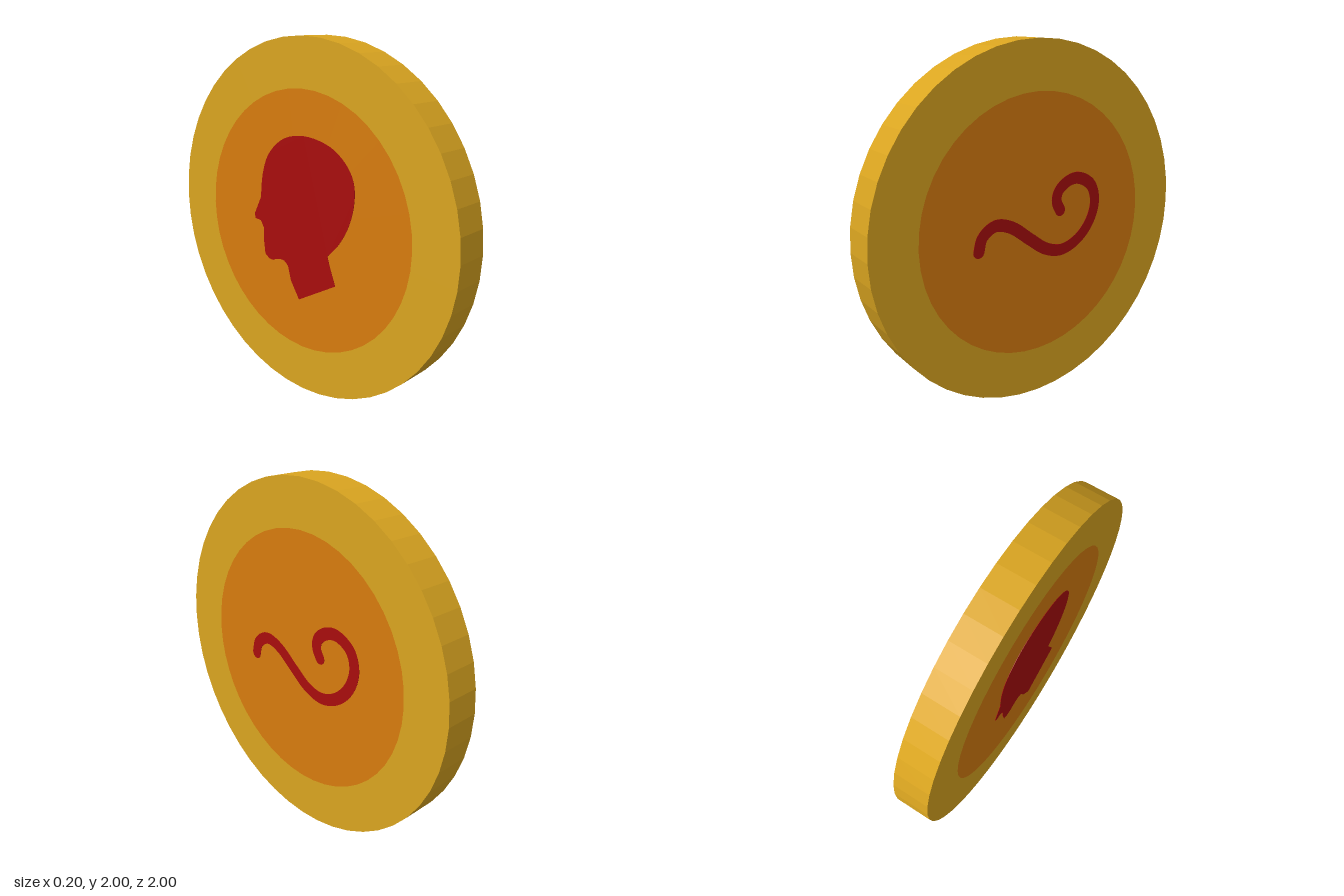
import * as THREE from 'three';

const SEGMENTS = 48, HALF = 0.1, INNER = 0.733;

const flat = (name, color) => {
  const m = new THREE.MeshStandardMaterial({ color });
  m.name = name;
  return m;
};

function mesh(name, geometry, material, parent, z = 0) {
  const m = new THREE.Mesh(geometry, material);
  m.name = name;
  m.position.z = z;
  parent.add(m);
  return m;
}

// Constant-width stroke with round ends along a smooth curve
function strokeShape(points, halfWidth) {
  const curve = new THREE.CatmullRomCurve3(points.map(([x, y]) => new THREE.Vector3(x, y, 0)));
  const n = 90, left = [], right = [];
  for (let i = 0; i <= n; i++) {
    const p = curve.getPointAt(i / n), t = curve.getTangentAt(i / n);
    left.push(new THREE.Vector2(p.x - t.y * halfWidth, p.y + t.x * halfWidth));
    right.push(new THREE.Vector2(p.x + t.y * halfWidth, p.y - t.x * halfWidth));
  }
  const cap = (u, start) => {
    const p = curve.getPointAt(u), t = curve.getTangentAt(u);
    const a0 = Math.atan2(t.y, t.x) + start, out = [];
    for (let i = 1; i < 8; i++) {
      const a = a0 - (i / 8) * Math.PI;
      out.push(new THREE.Vector2(p.x + Math.cos(a) * halfWidth, p.y + Math.sin(a) * halfWidth));
    }
    return out;
  };
  return new THREE.Shape([
    ...left, ...cap(1, Math.PI / 2), ...right.reverse(), ...cap(0, -Math.PI / 2),
  ]);
}

// Head in profile: smooth skull, angular face and neck
function headShape() {
  const v = ([x, y]) => new THREE.Vector2(x, y);
  const s = new THREE.Shape();
  s.moveTo(0.19, -0.143);
  s.splineThru([[0.265, -0.066], [0.33, 0.039], [0.367, 0.159], [0.367, 0.277], [0.312, 0.374],
    [0.2, 0.452], [0.033, 0.486], [-0.126, 0.459], [-0.247, 0.364], [-0.302, 0.239],
    [-0.321, 0.099]].map(v));
  // nose, mouth and chin
  for (const [x, y] of [[-0.377, -0.009], [-0.37, -0.035], [-0.325, -0.04], [-0.302, -0.079],
    [-0.303, -0.15], [-0.293, -0.235], [-0.26, -0.258], [-0.228, -0.26]]) s.lineTo(x, y);
  // jaw and neck
  s.splineThru([[-0.19, -0.245], [-0.14, -0.243], [-0.107, -0.27]].map(v));
  for (const [x, y] of [[-0.085, -0.35], [-0.023, -0.449], [0.247, -0.3], [0.209, -0.203]]) s.lineTo(x, y);
  s.closePath();
  return s;
}

export function createModel() {
  const gold = flat('gold', 0xdaa520);
  const orange = flat('orange', 0xd77c0e);
  const red = flat('deep red', 0xa80d0d);

  const coin = new THREE.Group();
  coin.name = 'coin';

  // Faceted edge
  const edge = new THREE.CylinderGeometry(1, 1, HALF * 2, SEGMENTS, 1, true).rotateZ(Math.PI / 2).toNonIndexed();
  edge.computeVertexNormals();
  mesh('edge', edge, gold, coin).position.y = 1;

  const swirl = strokeShape([[-0.388, -0.07], [-0.364, 0.005], [-0.283, 0.054], [-0.182, 0.028],
    [-0.059, -0.061], [0.048, -0.136], [0.16, -0.165], [0.278, -0.125], [0.369, -0.03],
    [0.403, 0.085], [0.369, 0.184], [0.27, 0.236], [0.193, 0.222], [0.135, 0.175],
    [0.125, 0.12], [0.15, 0.068]], 0.034);

  // Both sides: border, inlaid disc and emblem
  for (const [name, side, emblem, shape] of [
    ['swirlSide', 1, 'swirl', swirl],
    ['headSide', -1, 'headProfile', headShape()],
  ]) {
    const face = new THREE.Group();
    face.name = name;
    face.position.set(side * HALF, 1, 0);
    face.rotation.y = side * Math.PI / 2;
    mesh('border', new THREE.RingGeometry(INNER, 1, SEGMENTS), gold, face);
    mesh('disc', new THREE.CircleGeometry(INNER, SEGMENTS), orange, face);
    mesh(emblem, new THREE.ExtrudeGeometry(shape, { depth: 0.002, bevelEnabled: false, curveSegments: 4 }), red, face);
    coin.add(face);
  }
  return coin;
}
